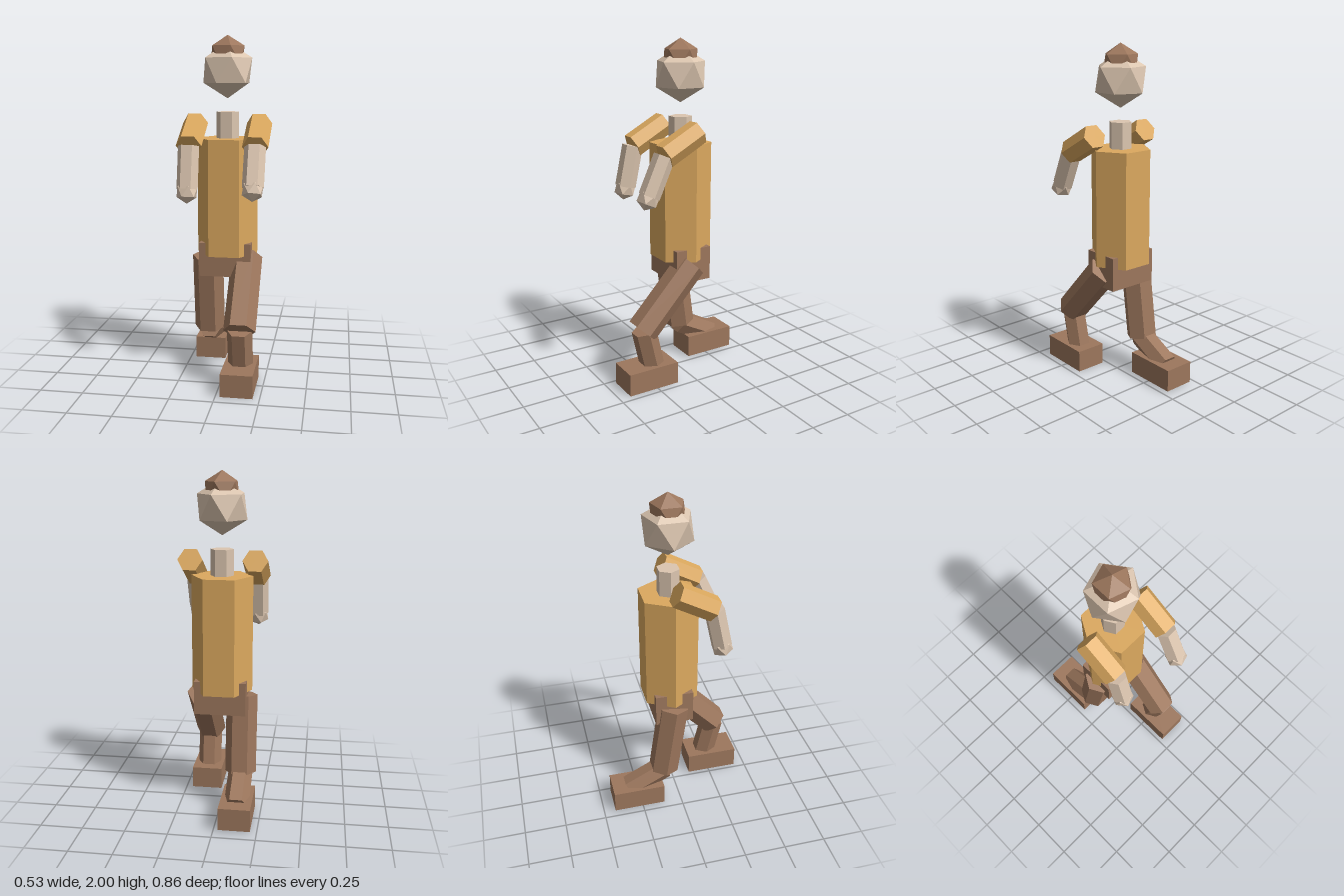
import * as THREE from 'three';

export function createModel() {
  const model = new THREE.Group();
  model.name = 'walkingFigure';

  const material = (name, color) => {
    const m = new THREE.MeshStandardMaterial({ color, flatShading: true });
    m.name = name;
    return m;
  };
  const skin = material('skin', 0xdcc6b0);
  const shirt = material('ochre shirt', 0xdca95f);
  const brown = material('brown', 0x9d775d);

  const add = (name, geometry, mat, x, y, z) => {
    const mesh = new THREE.Mesh(geometry, mat);
    mesh.name = name;
    mesh.position.set(x, y, z);
    model.add(mesh);
    return mesh;
  };

  // Six-sided prism with corners on the x axis
  const hex = (r, h) => new THREE.CylinderGeometry(r, r, h, 6).rotateY(Math.PI / 6);

  // Icosahedron standing on one corner
  const ball = (r) => new THREE.IcosahedronGeometry(r, 0)
    .rotateZ(-Math.atan(2 / (1 + Math.sqrt(5))));

  // Prism from a to b, both given as [y, z] at one x
  const limb = (name, mat, r, x, a, b) => {
    const dy = b[0] - a[0], dz = b[1] - a[1];
    const mesh = add(name, hex(r, Math.hypot(dy, dz)), mat,
      x, (a[0] + b[0]) / 2, (a[1] + b[1]) / 2);
    mesh.rotation.x = Math.atan2(-dz, -dy);
    return mesh;
  };

  // Trunk and head
  const axisZ = -0.03;
  add('torso', hex(0.18, 0.685), shirt, 0, 1.068, axisZ);
  add('pelvis', new THREE.BoxGeometry(0.306, 0.2, 0.228), brown, 0, 0.698, axisZ);
  add('neck', hex(0.067, 0.2), skin, 0, 1.463, axisZ);
  add('head', ball(0.16), skin, 0, 1.8, axisZ);
  add('hair', ball(0.11), brown, 0, 1.89, axisZ);

  // Arms
  const arms = [
    { side: 'left', x: 0.188, elbow: [1.38, 0.187], hand: [1.153, 0.29] },
    { side: 'right', x: -0.19, elbow: [1.38, 0.183], hand: [1.126, 0.238] },
  ];
  for (const { side, x, elbow, hand } of arms) {
    limb(side + 'UpperArm', shirt, 0.074, x, [1.497, axisZ], elbow);
    const wrist = elbow.map((e, i) => e + (hand[i] - e) * 0.94);
    const forearm = limb(side + 'Forearm', skin, 0.061, x, elbow, wrist);
    add(side + 'Hand', ball(0.066), skin, x, ...hand).rotation.x = forearm.rotation.x;
  }

  // Legs in mid stride
  const legs = [
    { side: 'left', x: 0.118, knee: [0.345, 0.3], shin: [0.345, 0.29], ankle: [0.09, 0.232], foot: [0.067, 0.273] },
    { side: 'right', x: -0.12, knee: [0.228, -0.095], shin: [0.225, -0.09], ankle: [0.106, -0.32], foot: [0.076, -0.271] },
  ];
  for (const { side, x, knee, shin, ankle, foot } of legs) {
    limb(side + 'Thigh', brown, 0.093, x, [0.698, axisZ], knee);
    limb(side + 'Shin', brown, 0.073, x, shin, ankle);
    add(side + 'Foot', new THREE.BoxGeometry(0.185, 0.133, 0.318), brown, x, ...foot);
  }

  return model;
}
